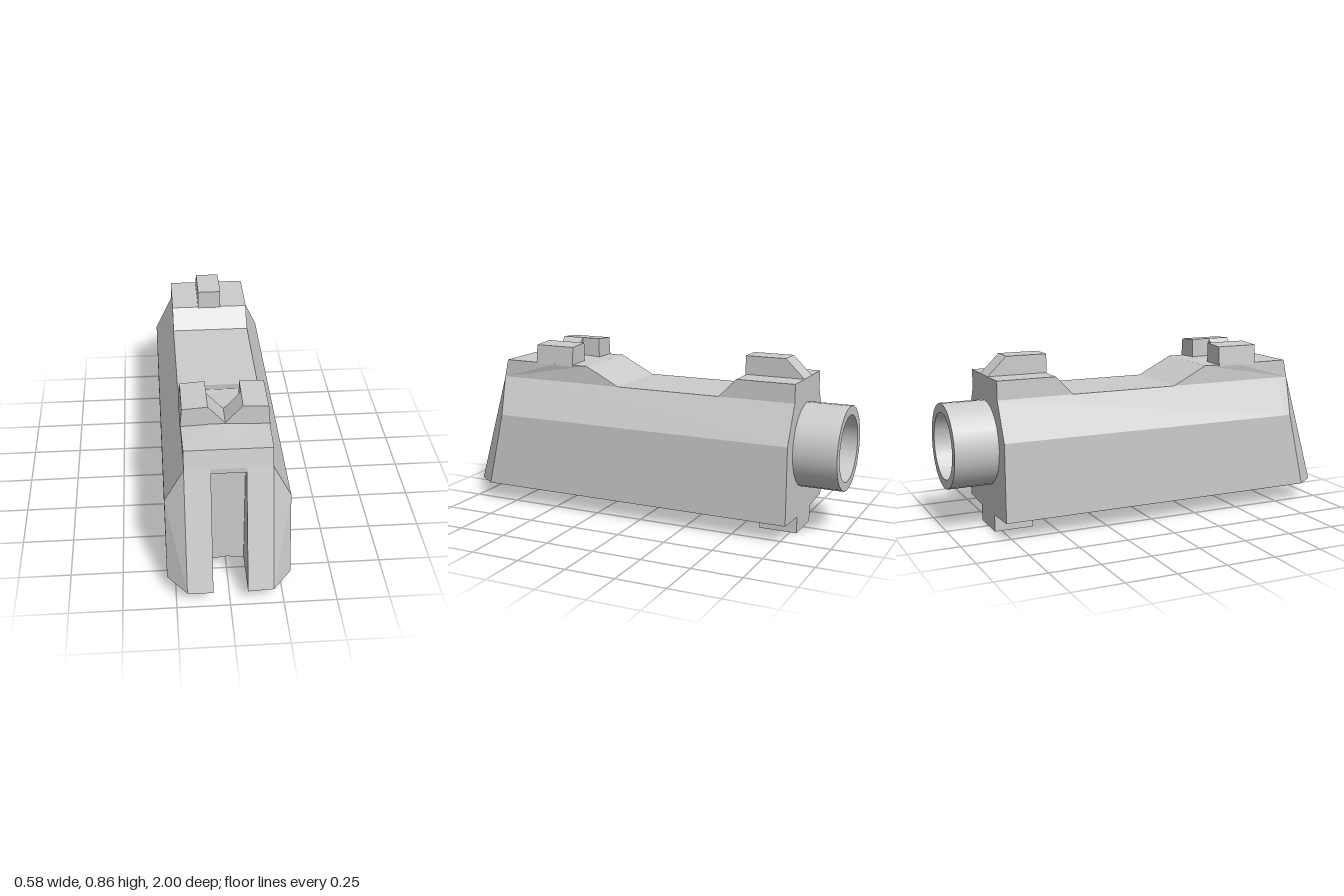
import * as THREE from 'three';

const material = new THREE.MeshStandardMaterial({ color: 0xcccccc, flatShading: true });
const smooth = new THREE.MeshStandardMaterial({ color: 0xcccccc });

// Skins equal-length rings of [x, y, z] points; end caps are fans around point `pivot`.
function loft(name, rings, pivot = 0) {
  const n = rings[0].length;
  const tris = [];
  for (let r = 0; r < rings.length - 1; r++) {
    const a = rings[r], b = rings[r + 1];
    for (let i = 0; i < n; i++) {
      const j = (i + 1) % n;
      tris.push([a[i], a[j], b[j]], [a[i], b[j], b[i]]);
    }
  }
  const first = rings[0], last = rings[rings.length - 1];
  for (let k = 1; k < n - 1; k++) {
    const i = (pivot + k) % n, j = (pivot + k + 1) % n;
    tris.push([first[pivot], first[j], first[i]], [last[pivot], last[i], last[j]]);
  }
  // a negative enclosed volume means the faces point inward
  let volume = 0;
  const v = tris.map(t => t.map(p => new THREE.Vector3(...p)));
  for (const [a, b, c] of v) volume += a.dot(b.clone().cross(c));
  const points = v.flatMap(t => (volume < 0 ? [t[0], t[2], t[1]] : t));
  const geometry = new THREE.BufferGeometry().setFromPoints(points);
  geometry.computeVertexNormals();
  const mesh = new THREE.Mesh(geometry, material);
  mesh.name = name;
  return mesh;
}

// Ring from a 2D outline in x/y placed at depth z, and one in z/y placed at x
const atZ = (outline, z) => outline.map(([x, y]) => [x, y, z]);
const atX = (outline, x) => outline.map(([z, y]) => [x, y, z]);

function box(name, x, y, z) {
  const geometry = new THREE.BoxGeometry(x[1] - x[0], y[1] - y[0], z[1] - z[0]);
  const mesh = new THREE.Mesh(geometry, material);
  mesh.position.set((x[0] + x[1]) / 2, (y[0] + y[1]) / 2, (z[0] + z[1]) / 2);
  mesh.name = name;
  return mesh;
}

export function createModel() {
  const model = new THREE.Group();
  model.name = 'weaponHousing';
  const slotZ = 0.77, rearZ = -0.785;

  // Long body with sloped shoulders
  const half = [[0.08, 0.082], [0.2, 0.088], [0.29, 0.093], [0.29, 0.48], [0.2, 0.67]];
  const outline = [[0, 0.67], ...half.map(([x, y]) => [-x, y]).reverse(), [0, 0.093], ...half];
  model.add(loft('body', [atZ(outline, rearZ), atZ(outline, slotZ)]));

  // Raked front prongs on both sides of the slot
  const prong = [...half, [0.08, 0.67]];
  const tipZ = [1, 1, 0.89, 0.8, 0.83, 0.83];
  for (const s of [1, -1]) {
    const back = prong.map(([x, y]) => [s * x, y, slotZ]);
    const tip = prong.map(([x, y], i) => [s * x, y, tipZ[i]]);
    model.add(loft(s > 0 ? 'leftProng' : 'rightProng', [back, tip], 1));
  }
  model.add(box('slotBridge', [-0.08, 0.08], [0.645, 0.67], [slotZ - 0.01, 0.83]));

  // Raised front deck, slightly peaked and widest under the sight
  const deckSide = [[0.2, 0.67, 0.83], [0.2, 0.762, 0.81], [0.206, 0.762, 0.51],
    [0.2, 0.762, 0.33], [0.2, 0.67, 0.15]];
  const deckMiddle = [[0, 0.67, 0.83], [0, 0.762, 0.81], [0, 0.772, 0.51],
    [0, 0.762, 0.33], [0, 0.67, 0.15]];
  model.add(loft('frontDeck', [deckSide.map(([x, y, z]) => [-x, y, z]), deckMiddle, deckSide]));

  // Front sight: two blocks with a V notch between them
  const block = [[0.08, 0.75], [0.206, 0.755], [0.197, 0.854], [0.08, 0.862]];
  const wedge = [[0, 0.76], [0.08, 0.75], [0.08, 0.862], [0, 0.772]];
  for (const s of [1, -1]) {
    const side = s > 0 ? 'left' : 'right';
    const flip = o => o.map(([x, y]) => [s * x, y]);
    model.add(loft(side + 'SightBlock', [atZ(flip(block), 0.41), atZ(flip(block), 0.625)]));
    model.add(loft(side + 'SightNotch', [atZ(flip(wedge), 0.51), atZ(flip(wedge), 0.624)]));
  }

  // Raised rear deck and the rear sight on it
  const rearDeck = [[-0.4, 0.67], [-0.49, 0.762], [rearZ, 0.762], [rearZ, 0.67]];
  model.add(loft('rearDeck', [atX(rearDeck, -0.2), atX(rearDeck, 0.2)]));
  const rearSight = [[-0.485, 0.76], [-0.485, 0.855], [-0.69, 0.855], [rearZ, 0.762], [rearZ, 0.76]];
  model.add(loft('rearSight', [atX(rearSight, -0.06), atX(rearSight, 0.06)]));

  // Lug under the rear end
  model.add(box('bottomLug', [-0.105, 0.105], [0, 0.1], [rearZ, -0.59]));

  // Hollow rear socket; corner points are doubled to keep the rims sharp
  const profile = [[0.21, 0], [0.21, 0.22], [0.21, 0.22], [0.165, 0.22], [0.165, 0.22],
    [0.165, 0.12], [0.165, 0.12], [0, 0.12]];
  for (let i = 0; i < profile.length; i += 2) {
    const pair = [profile[i], profile[i + 1]].map(p => new THREE.Vector2(...p));
    const part = new THREE.Mesh(new THREE.LatheGeometry(pair, 24), smooth);
    part.name = ['socketWall', 'socketRim', 'socketBore', 'socketFloor'][i / 2];
    part.rotation.x = -Math.PI / 2;
    part.position.set(0, 0.43, -0.78);
    model.add(part);
  }
  return model;
}
